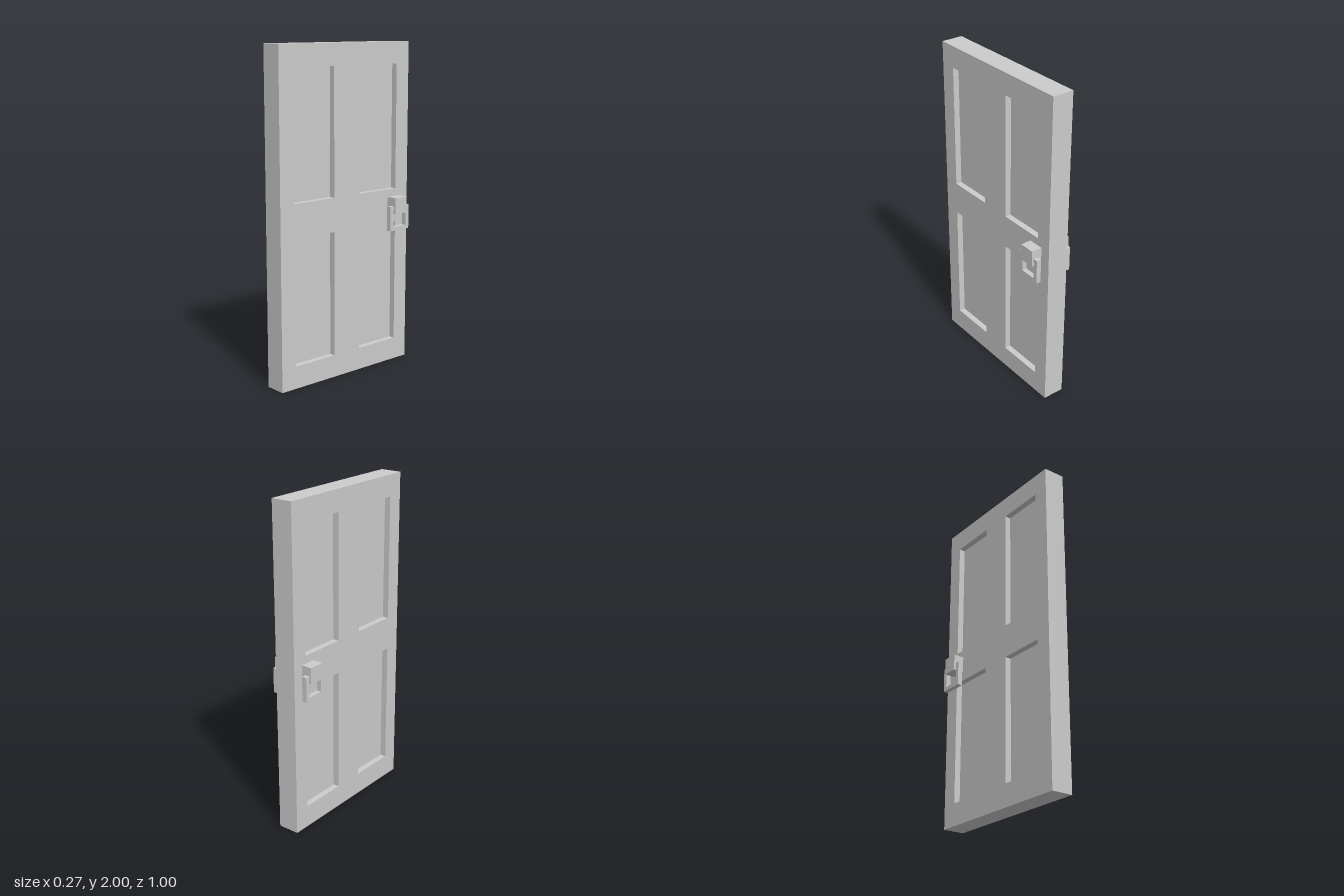
import * as THREE from 'three';

const material = new THREE.MeshStandardMaterial({ color: 0xcccccc, flatShading: true });

// Closed rectangle outline, usable as a shape or a hole
function rect(PathType, x0, y0, x1, y1) {
  const p = new PathType();
  p.moveTo(x0, y0);
  p.lineTo(x1, y0);
  p.lineTo(x1, y1);
  p.lineTo(x0, y1);
  p.closePath();
  return p;
}

// Extrudes a (z, y) outline so that its thickness is centred on x = 0
function slab(shape, thickness) {
  const g = new THREE.ExtrudeGeometry(shape, { depth: thickness, bevelEnabled: false });
  g.translate(0, 0, -thickness / 2);
  g.rotateY(-Math.PI / 2); // outline x becomes +z
  return g;
}

function addMesh(parent, name, geometry, x = 0, y = 0, z = 0) {
  const mesh = new THREE.Mesh(geometry, material);
  mesh.name = name;
  mesh.position.set(x, y, z);
  parent.add(mesh);
  return mesh;
}

// Mounting block with a square pull ring hanging through it
function createKnocker(side) {
  const group = new THREE.Group();
  group.name = side > 0 ? 'leftHandle' : 'rightHandle';
  addMesh(group, 'handleMount', new THREE.BoxGeometry(0.07, 0.1, 0.098), side * 0.099, 1.008, -0.385);

  const ring = rect(THREE.Shape, -0.463, 0.853, -0.308, 1.005);
  ring.holes.push(rect(THREE.Path, -0.437, 0.876, -0.333, 0.981));
  addMesh(group, 'pullRing', slab(ring, 0.03), side * 0.107);
  return group;
}

export function createModel() {
  const door = new THREE.Group();
  door.name = 'door';

  // Frame with four openings, each filled by a thinner recessed panel
  const frame = rect(THREE.Shape, -0.5, 0, 0.5, 2);
  for (const z of [-0.4, 0.1]) {
    for (const y of [0.137, 1.105]) {
      frame.holes.push(rect(THREE.Path, z, y, z + 0.3, y + 0.763));
      addMesh(door, 'recessedPanel', new THREE.BoxGeometry(0.058, 0.763, 0.3), 0, y + 0.3815, z + 0.15);
    }
  }
  addMesh(door, 'doorFrame', slab(frame, 0.134));

  // Same handle on both faces
  for (const side of [-1, 1]) door.add(createKnocker(side));
  return door;
}
